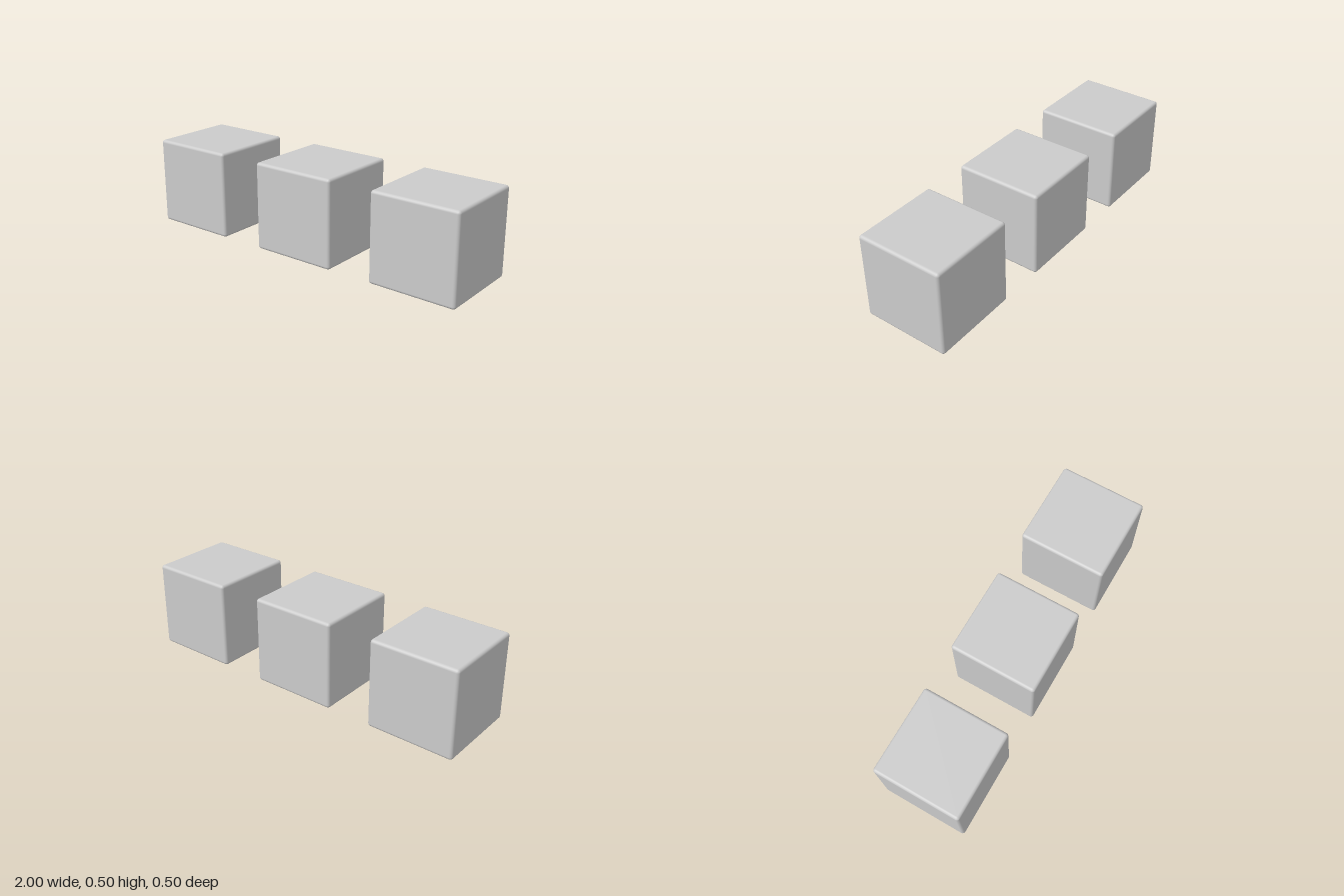
import * as THREE from 'three';
import { RoundedBoxGeometry } from 'three/addons/geometries/RoundedBoxGeometry.js';

const SIZE = 0.5;      // cube edge length
const SPACING = 0.75;  // distance between cube centres
const RADIUS = 0.017;  // rounded edge

export function createModel() {
  const model = new THREE.Group();
  model.name = 'cubeRow';

  const material = new THREE.MeshStandardMaterial({ color: 0xcccccc });
  const geometry = new RoundedBoxGeometry(SIZE, SIZE, SIZE, 4, RADIUS);

  // Three identical soft-edged cubes in a row, from the model's right to its left
  ['rightCube', 'middleCube', 'leftCube'].forEach((name, i) => {
    const cube = new THREE.Mesh(geometry, material);
    cube.name = name;
    cube.position.set((i - 1) * SPACING, SIZE / 2, 0);
    model.add(cube);
  });

  return model;
}
